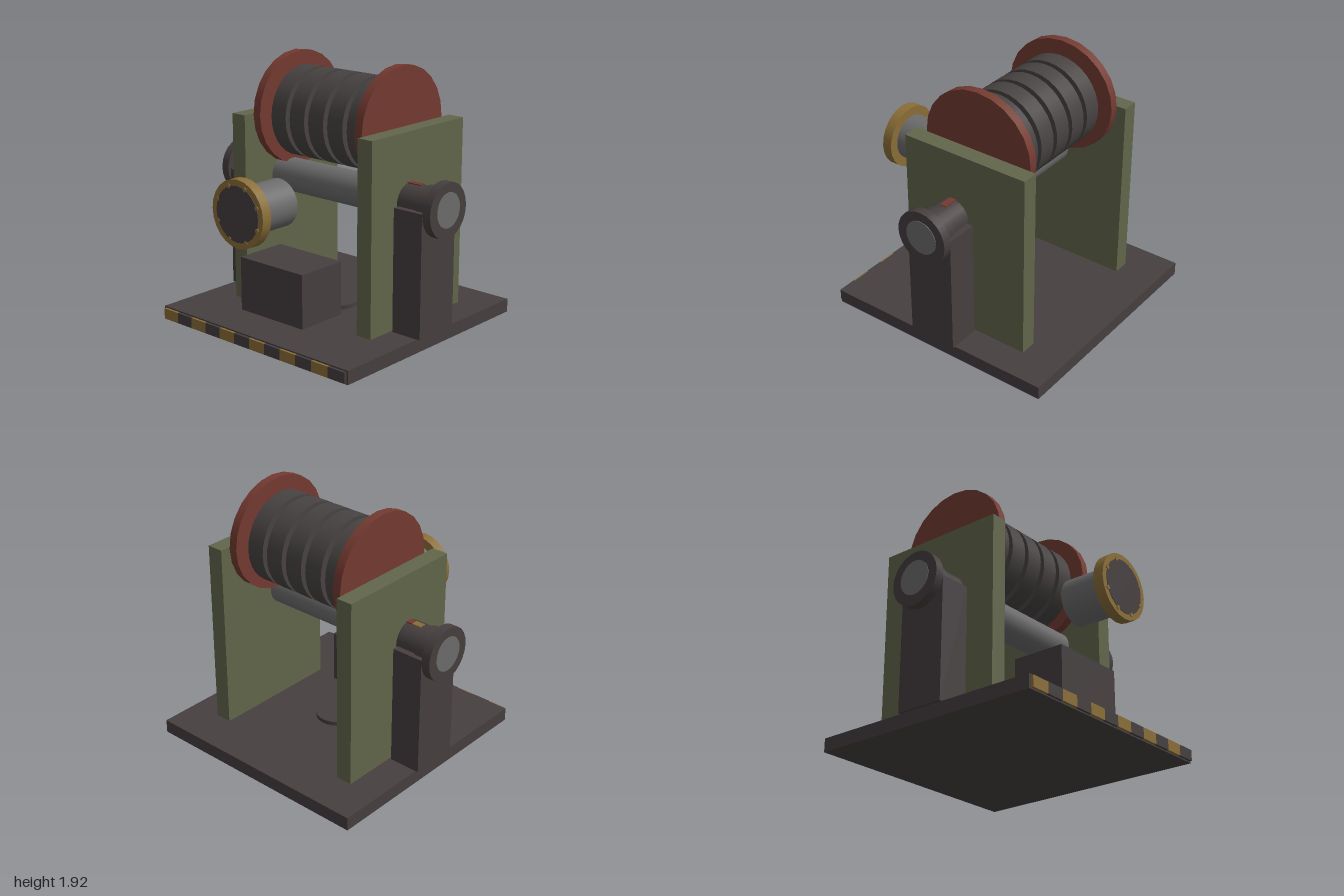
import * as THREE from 'three';

const mat = (name, color) => {
  const m = new THREE.MeshStandardMaterial({ color });
  m.name = name;
  return m;
};

export function createModel() {
  const model = new THREE.Group();
  model.name = 'winch';
  const dark = mat('dark iron', 0x463f40);
  const cable = mat('cable grey', 0x474342);
  const olive = mat('olive paint', 0x62664a);
  const red = mat('red paint', 0x743a31);
  const yellow = mat('yellow paint', 0x8a6e38);
  const steel = mat('steel', 0x6c6c6c);

  const add = (name, geometry, material, x, y, z) => {
    const mesh = new THREE.Mesh(geometry, material);
    mesh.name = name;
    mesh.position.set(x, y, z);
    model.add(mesh);
    return mesh;
  };
  // Box given by its extents on each axis
  const box = (name, m, [x0, x1], [y0, y1], [z0, z1]) =>
    add(name, new THREE.BoxGeometry(x1 - x0, y1 - y0, z1 - z0), m,
      (x0 + x1) / 2, (y0 + y1) / 2, (z0 + z1) / 2);
  // Cylinder lying along x
  const rod = (name, m, r, x0, x1, y, z, sides = 24) =>
    add(name, new THREE.CylinderGeometry(r, r, x1 - x0, sides).rotateZ(Math.PI / 2), m, (x0 + x1) / 2, y, z);
  // Cylinder lying along z
  const plug = (name, m, r, z0, z1, x, y, sides = 24) =>
    add(name, new THREE.CylinderGeometry(r, r, z1 - z0, sides).rotateX(Math.PI / 2), m, x, y, (z0 + z1) / 2);

  const axleY = 1.005, axleZ = -0.055;

  // Base with hazard stripes along the front edge
  box('base', dark, [-0.897, 0.894], [0, 0.1], [-0.957, 0.847]);
  for (let i = 0; i < 12; i++) {
    const x = -0.88 + i * 0.1467;
    box('hazardStripe', i % 2 ? dark : yellow, [x, x + 0.1467], [0.01, 0.09], [0.847, 0.866]);
  }
  add('baseBoss', new THREE.CylinderGeometry(0.155, 0.155, 0.03, 24), dark, 0, 0.115, axleZ);

  // Control box
  box('controlBox', dark, [-0.298, 0.296], [0.165, 0.56], [0.24, 0.64]);

  // Side plates, bearing posts, collars and end flanges
  const span = (s, a, b) => (s > 0 ? [a, b] : [-b, -a]);
  for (const s of [-1, 1]) {
    box('sidePlate', olive, span(s, 0.535, 0.66), [0.1, 1.5], [-0.655, 0.347]);
    box('bearingPost', dark, span(s, 0.675, 0.917), [0.1, 1.0], [-0.238, 0.13]);
    rod('innerCollar', dark, 0.135, ...span(s, 0.66, 0.83), axleY, axleZ);
    rod('outerCollar', dark, 0.148, ...span(s, 0.83, 0.93), axleY, axleZ);
    rod('endFlange', dark, 0.2, ...span(s, 0.93, 0.996), axleY - 0.005, axleZ);
  }
  rod('axle', steel, 0.126, -1, 1, axleY, axleZ, 32);

  // Coloured marks along the top of the axle
  for (const [m, x0, x1] of [[yellow, -0.78, -0.71], [red, -0.71, -0.45], [yellow, 0.2, 0.47], [red, 0.47, 0.77]]) {
    box('axleMark', m, [x0, x1], [1.136, 1.145], [-0.085, -0.035]);
  }

  // Drum with cable bands between two red flanges
  const drumY = 1.5, drumZ = -0.158;
  rod('drumCore', cable, 0.278, -0.45, 0.45, drumY - 0.01, drumZ, 32);
  for (let i = -2; i <= 2; i++) {
    rod('cableBand', cable, 0.338, i * 0.18 - 0.07, i * 0.18 + 0.07, drumY - 0.02, drumZ, 32);
  }
  for (const s of [-1, 1]) {
    const flange = rod('drumFlange', red, 0.438, ...span(s, 0.447, 0.512), drumY, drumZ);
    flange.scale.y = 0.965;
  }

  // Motor at the front with a bolted yellow ring
  plug('motorBody', steel, 0.17, 0.545, 0.88, 0, 1.0, 32);
  plug('motorRing', yellow, 0.241, 0.873, 0.95, 0, 1.0);
  plug('motorFace', dark, 0.198, 0.945, 0.954, 0, 1.0);
  for (let i = 0; i < 8; i++) {
    const a = (i / 8) * Math.PI * 2 + Math.PI / 8;
    plug('ringBolt', yellow, 0.016, 0.94, 0.957, Math.cos(a) * 0.2, 1 + Math.sin(a) * 0.2, 8);
  }
  return model;
}
